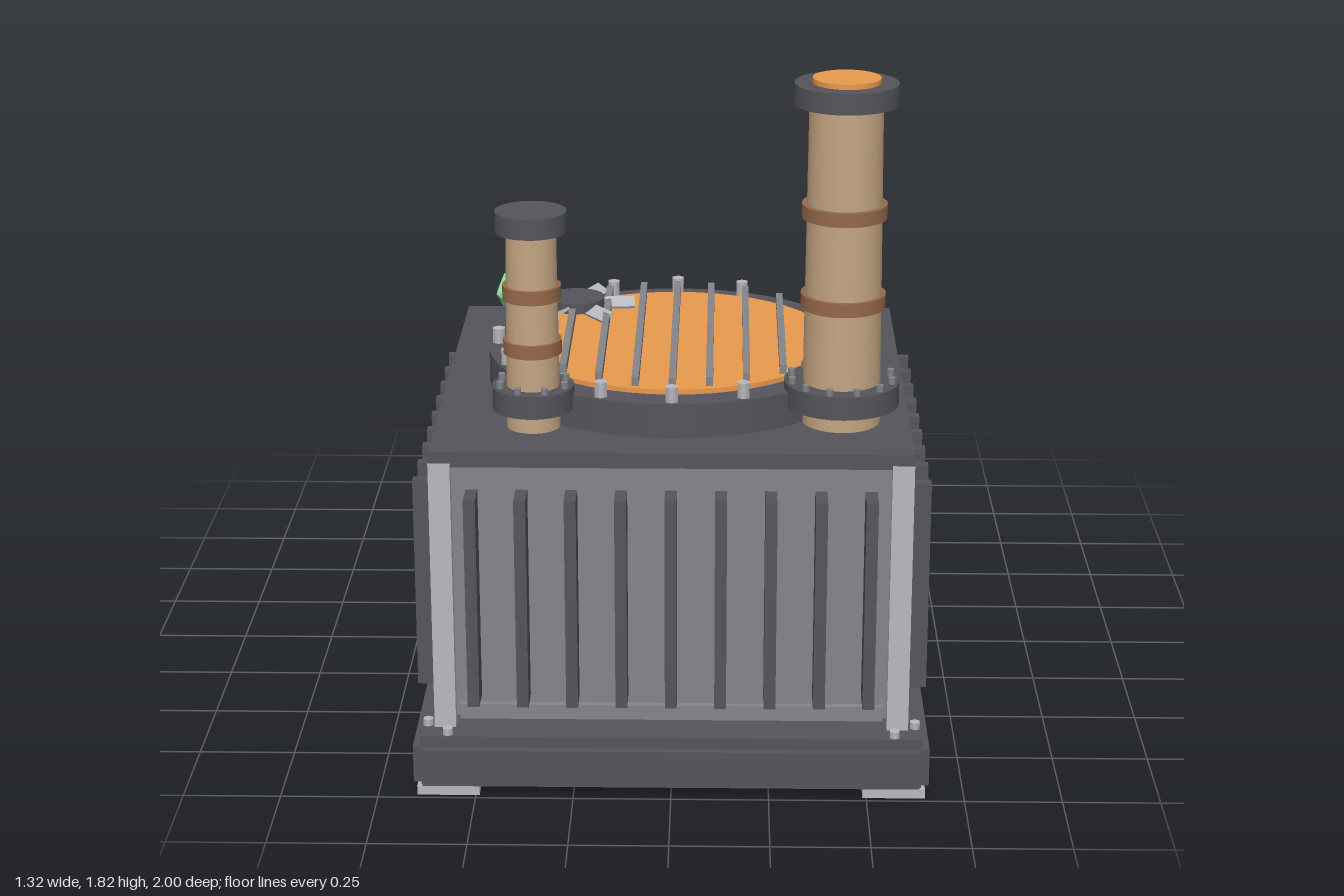
import * as THREE from 'three';

const mat = (color, opts = {}) => new THREE.MeshStandardMaterial({ color, ...opts });
const DARK = mat(0x55545a), BODY = mat(0x85858a), LIGHT = mat(0xb8b8be), BLACK = mat(0x333336);
const ORANGE = mat(0xe89a4c), CLAY = mat(0xc4a582), BROWN = mat(0x96694a), YELLOW = mat(0xd8b93c);
const SCREEN = mat(0x70b890), CREAM = mat(0xd6d2c0), GREEN = mat(0x86e29b, { flatShading: true });

const CZ = 0.335; // centre of the housing in z

export function createModel() {
  const root = new THREE.Group();

  const add = (parent, name, geo, material, x = 0, y = 0, z = 0) => {
    const m = new THREE.Mesh(geo, material);
    m.name = name;
    m.position.set(x, y, z);
    parent.add(m);
    return m;
  };
  const box = (p, name, material, w, h, d, x, y, z) =>
    add(p, name, new THREE.BoxGeometry(w, h, d), material, x, y, z);
  // upright cylinder between two heights
  const cyl = (p, name, material, r0, r1, y0, y1, x, z, seg = 32) =>
    add(p, name, new THREE.CylinderGeometry(r1, r0, y1 - y0, seg), material, x, (y0 + y1) / 2, z);
  // cylinder whose axis runs along z
  const disc = (p, name, material, r, depth, x, y, z, seg = 24) => {
    const m = add(p, name, new THREE.CylinderGeometry(r, r, depth, seg), material, x, y, z);
    m.rotation.x = Math.PI / 2;
    return m;
  };
  const group = (name, x = 0, y = 0, z = 0) => {
    const g = new THREE.Group();
    g.name = name;
    g.position.set(x, y, z);
    root.add(g);
    return g;
  };

  // Base plinth with raised side bands, corner feet and bolts
  const base = group('base', 0, 0, CZ);
  box(base, 'plinth', DARK, 1.28, 0.14, 1.28, 0, 0.09, 0);
  box(base, 'sideBand', DARK, 1.32, 0.1, 1.27, 0, 0.08, 0);
  box(base, 'frontBand', DARK, 1.27, 0.1, 1.32, 0, 0.08, 0);
  for (const sx of [-1, 1]) for (const sz of [-1, 1]) {
    box(base, 'foot', LIGHT, 0.16, 0.025, 0.16, sx * 0.57, 0.0125, sz * 0.57);
    for (const [bx, bz] of [[0.57, 0.625], [0.625, 0.57]])
      cyl(base, 'baseBolt', LIGHT, 0.014, 0.014, 0.155, 0.178, sx * bx, sz * bz, 6);
  }

  // Warning stripes on the back of the base
  box(base, 'stripePanel', BLACK, 1.22, 0.085, 0.012, 0, 0.08, -0.662);
  for (let i = 0; i < 6; i++)
    box(base, 'warningStripe', YELLOW, 0.11, 0.075, 0.012, -0.555 + i * 0.222, 0.08, -0.667);

  // Housing with corner posts, wall frames and vertical ribs
  const housing = group('housing', 0, 0, CZ);
  box(housing, 'walls', BODY, 1.15, 0.69, 1.15, 0, 0.535, 0);
  box(housing, 'topPlate', DARK, 1.21, 0.04, 1.21, 0, 0.9, 0);
  for (const sx of [-1, 1]) for (const sz of [-1, 1])
    box(housing, 'cornerPost', LIGHT, 0.055, 0.72, 0.055, sx * 0.578, 0.53, sz * 0.578);
  for (let s = 0; s < 4; s++) {
    const side = new THREE.Group();
    side.name = 'ribbedSide';
    side.rotation.y = s * Math.PI / 2;
    housing.add(side);
    for (const y of [0.208, 0.86]) box(side, 'wallFrame', BODY, 1.08, 0.04, 0.02, 0, y, 0.582);
    for (let i = -4; i <= 4; i++)
      box(side, 'rib', DARK, 0.03, 0.56, 0.085, i * 0.125, 0.53, 0.6125);
  }

  // Round lid: ring, glowing bed, bolts and grate bars
  const lid = group('lid', 0, 0, CZ);
  const ring = [[0.42, 0.92], [0.495, 0.92], [0.495, 1.01], [0.42, 1.01], [0.42, 0.92]]
    .map(([r, y]) => new THREE.Vector2(r, y));
  add(lid, 'lidRing', new THREE.LatheGeometry(ring, 48), mat(0x55545a, { flatShading: true }));
  cyl(lid, 'glowingBed', ORANGE, 0.42, 0.42, 0.92, 1.023, 0, 0, 48);
  for (let i = 0; i < 16; i++) {
    if (i % 4 === 2) continue;
    const a = i * Math.PI / 8;
    cyl(lid, 'lidBolt', LIGHT, 0.018, 0.018, 1.005, 1.05, Math.cos(a) * 0.47, Math.sin(a) * 0.47, 6);
  }
  for (let i = -4; i <= 4; i++) {
    const x = i * 0.094;
    box(lid, 'grateBar', BODY, 0.018, 0.025, 2 * Math.sqrt(0.42 ** 2 - x * x), x, 1.042, 0);
  }

  // Small fan lying on the grate
  const fan = group('fan', -0.275, 1.05, 0.1);
  cyl(fan, 'fanHub', DARK, 0.077, 0.077, -0.012, 0.016, 0, 0, 24);
  for (let i = 0; i < 6; i++) {
    const arm = new THREE.Group();
    arm.name = 'fanBlade';
    arm.rotation.y = 0.09 + i * Math.PI / 3;
    fan.add(arm);
    box(arm, 'blade', LIGHT, 0.1, 0.008, 0.04, 0.11, -0.004, 0).rotation.x = 0.5;
  }

  // Chimneys: flange, bolts, tapered pipe, clamp bands and cap
  const chimney = (name, x, z, o) => {
    const g = group(name, x, 0, z);
    cyl(g, 'flange', DARK, o.flange, o.flange, 0.97, 1.03, 0, 0);
    cyl(g, 'pipe', CLAY, o.r * 1.04, o.r * 0.96, 0.92, o.top, 0, 0);
    cyl(g, 'cap', DARK, o.cap, o.cap, o.top, o.top + 0.053, 0, 0);
    for (const y of o.bands) cyl(g, 'band', BROWN, o.r * 1.12, o.r * 1.12, y - 0.018, y + 0.018, 0, 0);
    for (let i = 0; i < o.bolts; i++) {
      const a = (i + 0.5) * 2 * Math.PI / o.bolts, r = o.flange - 0.016;
      cyl(g, 'flangeBolt', BODY, 0.01, 0.01, 1.025, 1.047, Math.cos(a) * r, Math.sin(a) * r, 6);
    }
    return g;
  };
  const tall = chimney('tallChimney', 0.43, 0.685,
    { r: 0.096, flange: 0.147, cap: 0.13, top: 1.75, bands: [1.245, 1.478], bolts: 12 });
  cyl(tall, 'glowingMouth', ORANGE, 0.085, 0.085, 1.79, 1.816, 0, 0);
  chimney('shortChimney', -0.353, 0.735,
    { r: 0.066, flange: 0.104, cap: 0.09, top: 1.433, bands: [1.135, 1.277], bolts: 8 });

  // Signal lamp at the back corner
  add(root, 'signalLamp', new THREE.IcosahedronGeometry(0.063, 0), GREEN, -0.47, 0.96, -0.288);

  // Control box on the back wall
  const control = group('controlBox');
  box(control, 'case', BODY, 0.42, 0.31, 0.13, 0, 0.645, -0.31);
  box(control, 'displayPanel', BLACK, 0.32, 0.14, 0.02, 0, 0.7, -0.378);
  box(control, 'screen', SCREEN, 0.185, 0.1, 0.012, -0.055, 0.7, -0.388);
  box(control, 'button', YELLOW, 0.06, 0.035, 0.03, 0.145, 0.55, -0.38);
  for (const x of [0.04, -0.05, -0.14]) disc(control, 'knob', LIGHT, 0.017, 0.02, x, 0.545, -0.382, 12);

  // Valve handwheel
  const wheel = group('valveWheel', 0.39, 0.395, -0.365);
  add(wheel, 'rim', new THREE.TorusGeometry(0.059, 0.011, 8, 24), BROWN);
  disc(wheel, 'hub', BROWN, 0.02, 0.03, 0, 0, 0, 12);
  disc(wheel, 'stem', LIGHT, 0.014, 0.13, 0, 0, 0.06, 12);
  for (let i = 0; i < 3; i++)
    box(wheel, 'spoke', BROWN, 0.115, 0.012, 0.012, 0, 0, 0).rotation.z = i * Math.PI / 3;

  // Pressure gauge
  const gauge = group('gauge', -0.39, 0.45, -0.38);
  disc(gauge, 'gaugeCase', DARK, 0.064, 0.03, 0, 0, 0);
  disc(gauge, 'dial', CREAM, 0.055, 0.006, 0, 0, -0.016);
  disc(gauge, 'gaugeStem', LIGHT, 0.016, 0.14, 0, 0, 0.06, 12);
  box(gauge, 'needle', BLACK, 0.006, 0.045, 0.004, -0.01, 0.012, -0.02).rotation.z = 0.6;

  // Cable drooping to the ground behind
  const path = new THREE.CatmullRomCurve3([
    [0.17, 0.48, -0.34], [0.25, 0.34, -0.48], [0.34, 0.195, -0.64], [0.44, 0.095, -0.81], [0.548, 0.028, -0.99],
  ].map(p => new THREE.Vector3(...p)));
  const cable = group('cable');
  add(cable, 'cableTube', new THREE.TubeGeometry(path, 24, 0.018, 10), DARK);
  const end = add(cable, 'cableEnd', new THREE.CircleGeometry(0.018, 10), DARK);
  end.position.copy(path.getPoint(1));
  end.lookAt(end.position.clone().add(path.getTangent(1)));

  return root;
}
